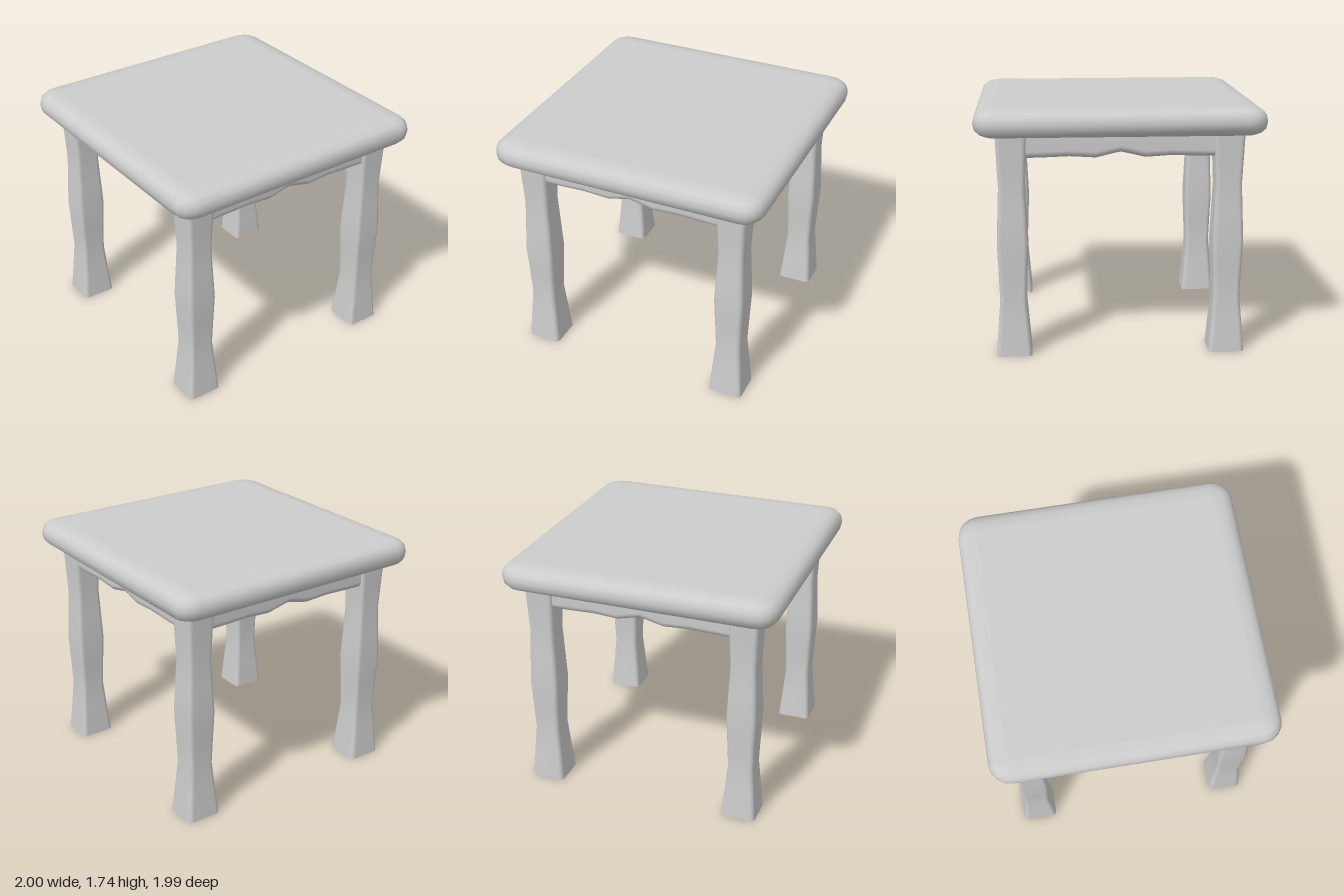
import * as THREE from 'three';

// Rounded rectangle as [u, v] points, anticlockwise
function roundedRect(hu, hv, r, seg = 4) {
  const pts = [];
  for (let c = 0; c < 4; c++) {
    const su = c === 0 || c === 3 ? 1 : -1;
    const sv = c < 2 ? 1 : -1;
    for (let i = 0; i <= seg; i++) {
      const a = (c + i / seg) * Math.PI / 2;
      pts.push([su * (hu - r) + r * Math.cos(a), sv * (hv - r) + r * Math.sin(a)]);
    }
  }
  return pts;
}

// Skin over equal-length rings of Vector3, smooth along the sides, with flat end caps.
// Seen from the far end of the loft, the rings run anticlockwise.
function loft(rings) {
  const n = rings[0].length;
  const pos = [];
  const index = [];
  rings.forEach(ring => ring.forEach(p => pos.push(p.x, p.y, p.z)));
  for (let k = 0; k < rings.length - 1; k++) {
    for (let i = 0; i < n; i++) {
      const a = k * n + i, b = k * n + (i + 1) % n;
      index.push(a, b, b + n, a, b + n, a + n);
    }
  }
  for (const end of [0, 1]) {
    const start = pos.length / 3;
    rings[end ? rings.length - 1 : 0].forEach(p => pos.push(p.x, p.y, p.z));
    for (let i = 1; i < n - 1; i++) {
      if (end) index.push(start, start + i, start + i + 1);
      else index.push(start, start + i + 1, start + i);
    }
  }
  const geo = new THREE.BufferGeometry();
  geo.setAttribute('position', new THREE.Float32BufferAttribute(pos, 3));
  geo.setIndex(index);
  geo.computeVertexNormals();
  return geo;
}

// Horizontal ring at height y
const level = (y, hx, hz, r) =>
  roundedRect(hx, hz, r).map(([u, v]) => new THREE.Vector3(u, y, -v));

export function createModel() {
  const group = new THREE.Group();
  group.name = 'table';
  const grey = new THREE.MeshStandardMaterial({ color: 0xcccccc });
  grey.name = 'light grey';

  const add = (name, geo) => {
    const mesh = new THREE.Mesh(geo, grey);
    mesh.name = name;
    group.add(mesh);
    return mesh;
  };

  // Table top with a bullnose edge: [inset, height]
  const edge = [
    [0.14, 1.548], [0.085, 1.553], [0.04, 1.57], [0.01, 1.6], [0, 1.645],
    [0.01, 1.69], [0.04, 1.72], [0.085, 1.735], [0.14, 1.74],
  ];
  add('tableTop', loft(edge.map(([d, y]) => level(y, 1 - d, 0.993 - d, Math.max(0.15 - d, 0.04)))));

  // Four square legs, waisted twice: [height, half width]
  const legProfile = [[0, 0.125], [0.2, 0.109], [0.4, 0.093], [0.6, 0.1], [0.8, 0.108],
    [1.0, 0.1], [1.2, 0.092], [1.4, 0.1], [1.56, 0.106]];
  const legGeo = loft(legProfile.map(([y, h]) => level(y, h, h, 0.03)));
  for (const [z, depth] of [[0.747, 'front'], [-0.747, 'back']]) {
    for (const [x, side] of [[0.747, 'Left'], [-0.747, 'Right']]) {
      add(depth + side + 'Leg', legGeo).position.set(x, 0, z);
    }
  }

  // Rails under the top, lower edge scalloped: [x, bottom height]
  const half = [[0, 1.432], [0.04, 1.424], [0.17, 1.393], [0.35, 1.404], [0.52, 1.398], [0.7, 1.394]];
  const scallop = [...half.slice(1).reverse().map(([x, y]) => [-x, y]), ...half];
  const railGeo = loft(scallop.map(([x, bottom]) => {
    const top = 1.6;
    const mid = (top + bottom) / 2;
    return roundedRect((top - bottom) / 2, 0.085, 0.045)
      .map(([u, v]) => new THREE.Vector3(x, mid + u, v));
  }));
  ['frontRail', 'leftRail', 'backRail', 'rightRail'].forEach((name, i) => {
    const a = i * Math.PI / 2;
    const rail = add(name, railGeo);
    rail.position.set(Math.sin(a) * 0.745, 0, Math.cos(a) * 0.745);
    rail.rotation.y = a;
  });

  return group;
}
